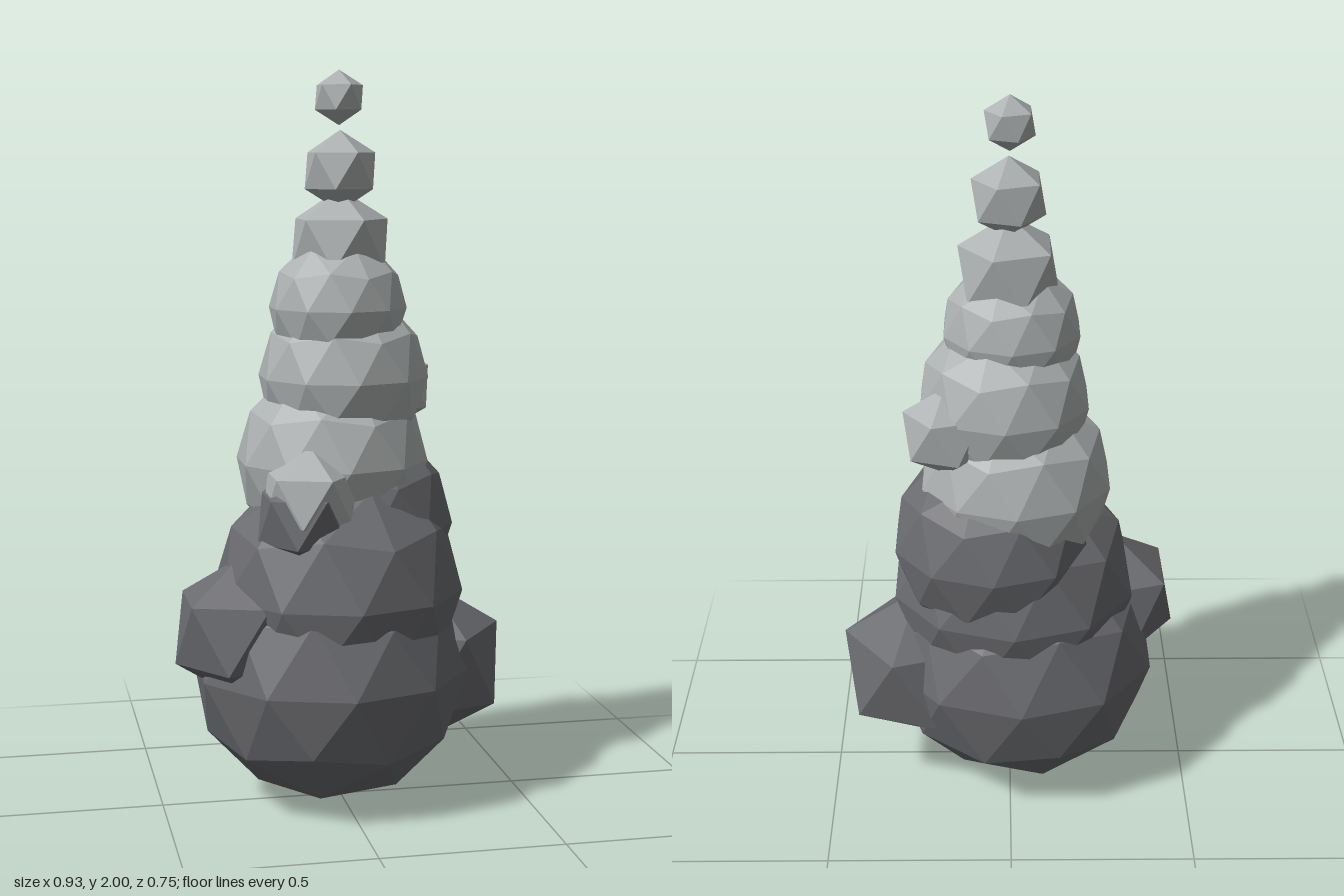
import * as THREE from 'three';

export function createModel() {
  const group = new THREE.Group();
  group.name = 'smokeColumn';

  const darkSmoke = new THREE.MeshStandardMaterial({ color: 0x6a6b6f, flatShading: true });
  darkSmoke.name = 'darkSmoke';
  const lightSmoke = new THREE.MeshStandardMaterial({ color: 0xadb1b1, flatShading: true });
  lightSmoke.name = 'lightSmoke';

  // Low-poly puff with one vertex pointing straight up
  const tilt = Math.atan(2 / (1 + Math.sqrt(5)));
  function addPuff(name, material, detail, radius, x, y, z, stretchX = 1) {
    const geometry = new THREE.IcosahedronGeometry(radius, detail);
    geometry.rotateZ(-tilt);
    geometry.scale(stretchX, 1, 1);
    const puff = new THREE.Mesh(geometry, material);
    puff.name = name;
    puff.position.set(x, y, z);
    group.add(puff);
  }

  // Dark lower column
  addPuff('basePuff', darkSmoke, 1, 0.373, -0.03, 0.375, 0, 1.03);
  addPuff('lowerPuff', darkSmoke, 1, 0.345, -0.01, 0.6, 0.005);
  addPuff('middlePuff', darkSmoke, 1, 0.28, 0.045, 0.77, -0.065);

  // Light upper column, shrinking towards the tip
  addPuff('upperPuff', lightSmoke, 1, 0.265, -0.016, 0.95, -0.045);
  addPuff('shoulderPuff', lightSmoke, 1, 0.234, 0.015, 1.18, -0.04);
  addPuff('neckPuff', lightSmoke, 1, 0.188, -0.005, 1.37, -0.015);
  addPuff('crownPuff', lightSmoke, 0, 0.148, 0.003, 1.54, -0.025);
  addPuff('wispPuff', lightSmoke, 0, 0.108, 0.003, 1.735, -0.02);
  addPuff('tipPuff', lightSmoke, 0, 0.073, 0, 1.928, -0.02);

  // Side puffs
  addPuff('rightSidePuff', darkSmoke, 0, 0.197, -0.291, 0.51, 0.067);
  addPuff('leftSidePuff', darkSmoke, 0, 0.23, 0.26, 0.36, -0.055);
  addPuff('frontDarkPuff', darkSmoke, 0, 0.14, -0.13, 0.825, 0.16);
  addPuff('frontLightPuff', lightSmoke, 0, 0.14, -0.115, 0.88, 0.16);
  addPuff('leftLightPuff', lightSmoke, 0, 0.125, 0.17, 1.135, -0.148);

  return group;
}
